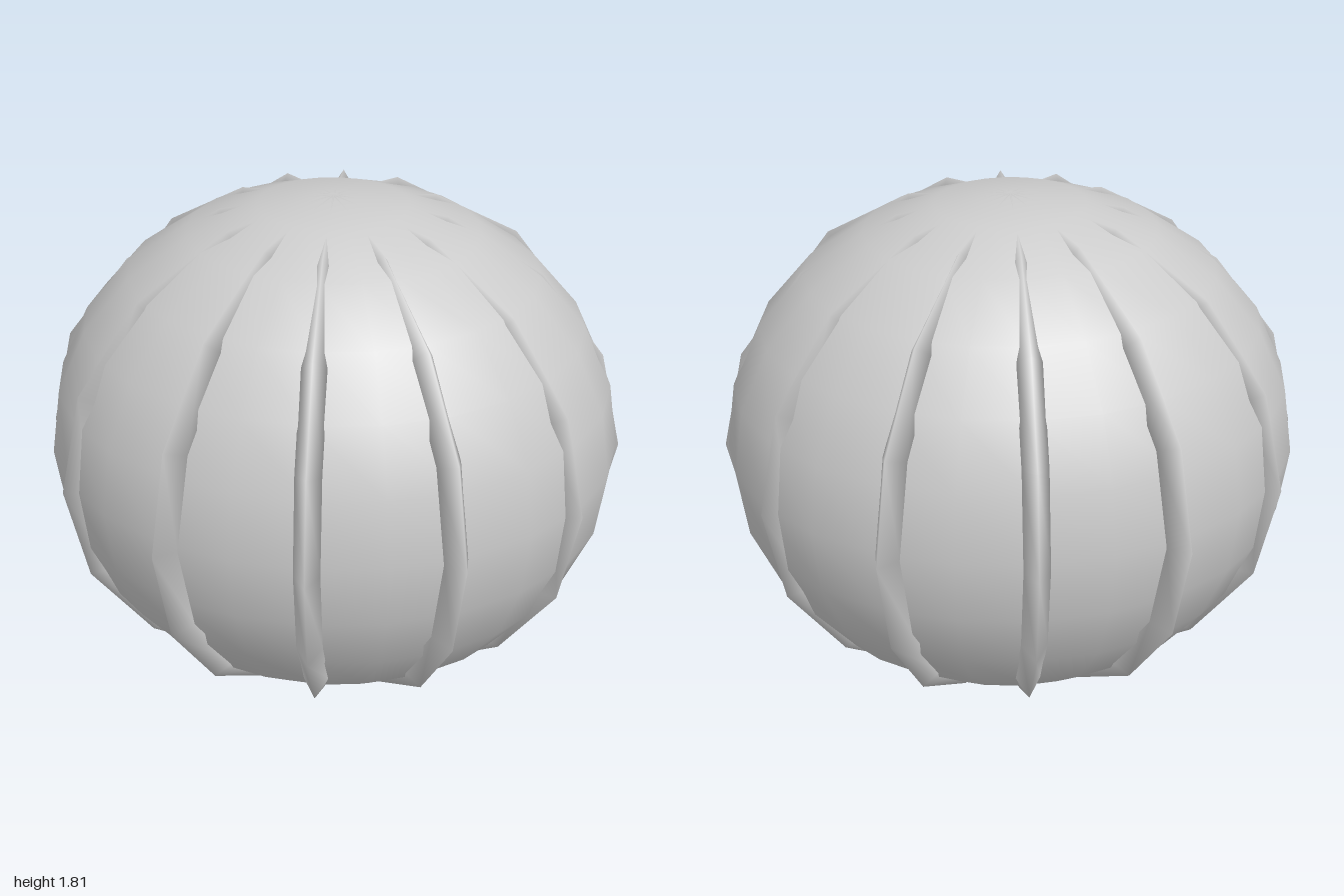
import * as THREE from 'three';

const HALF_HEIGHT = 0.906;
const RIB_RINGS = 6;

export function createModel() {
  const model = new THREE.Group();
  const material = new THREE.MeshStandardMaterial({ color: 0xcccccc });

  // Smooth ellipsoid, a little narrower from front to back
  const body = new THREE.Mesh(new THREE.SphereGeometry(1, 24, 12), material);
  body.name = 'body';
  body.scale.set(0.99, 0.9, 0.89);
  body.position.y = HALF_HEIGHT;
  model.add(body);

  // Upright rings with a three-sided section, crossing at the poles as twelve ribs
  const ribs = new THREE.Group();
  ribs.name = 'ribs';
  ribs.position.y = HALF_HEIGHT;
  ribs.scale.y = HALF_HEIGHT;
  const ringGeometry = new THREE.TorusGeometry(0.95, 0.05, 3, 16);
  for (let i = 0; i < RIB_RINGS; i++) {
    const ring = new THREE.Mesh(ringGeometry, material);
    ring.name = `ribRing${i + 1}`;
    ring.rotation.y = (i * Math.PI) / RIB_RINGS;
    ribs.add(ring);
  }
  model.add(ribs);

  return model;
}
